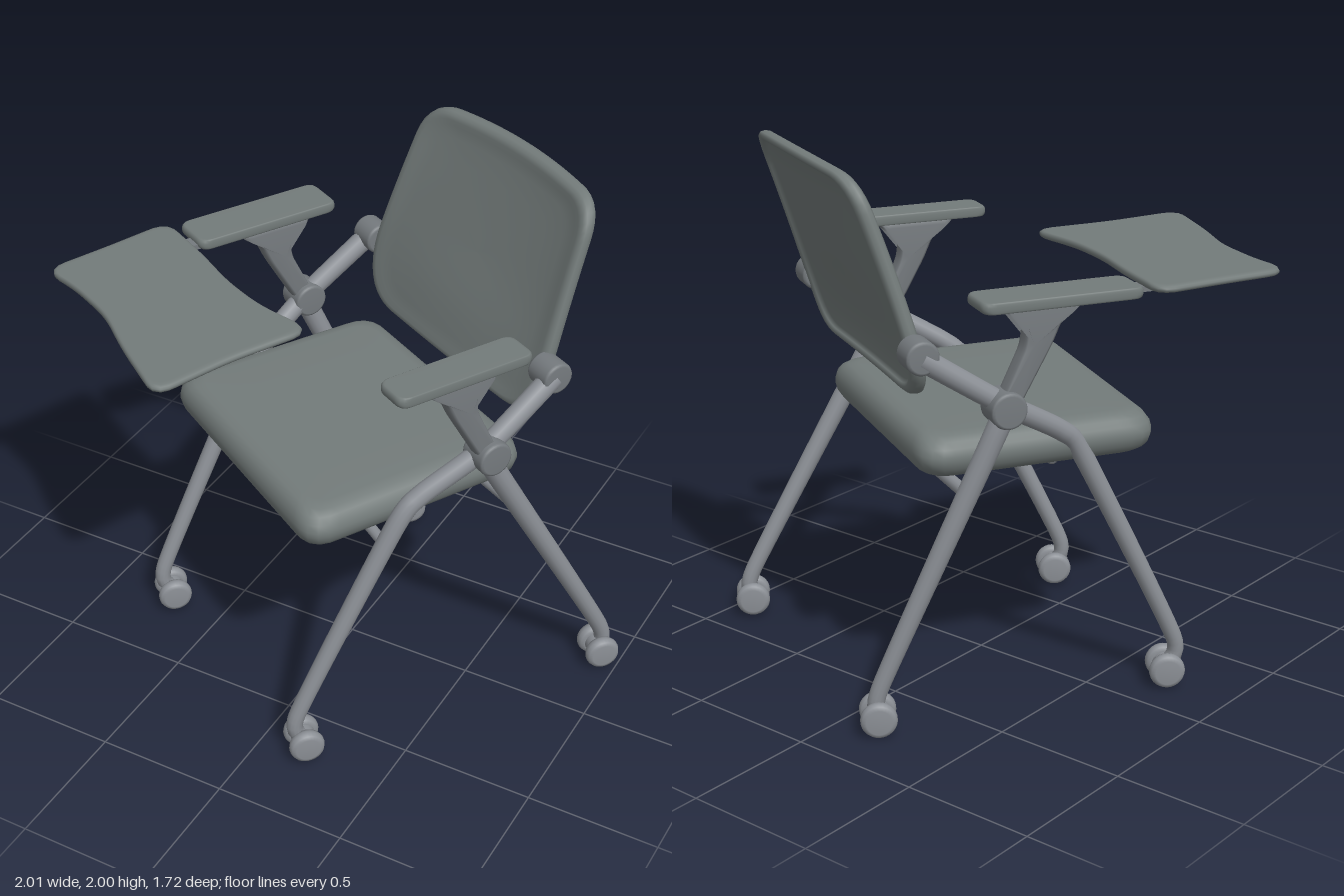
import * as THREE from 'three';

const fabric = new THREE.MeshStandardMaterial({ name: 'padGrey', color: 0x737b7a });
const metal = new THREE.MeshStandardMaterial({ name: 'frameGrey', color: 0x8b8f95 });
const joint = new THREE.MeshStandardMaterial({ name: 'jointGrey', color: 0x757a7e });
const V = (x, y, z) => new THREE.Vector3(x, y, z);

function add(parent, name, geometry, material, x = 0, y = 0, z = 0) {
  const mesh = new THREE.Mesh(geometry, material);
  mesh.name = name;
  mesh.position.set(x, y, z);
  parent.add(mesh);
  return mesh;
}

// Evenly spaced outline of a polygon with rounded corners
function rounded(corners, r, count = 96) {
  const pts = corners.map(([a, b]) => new THREE.Vector2(a, b));
  const shape = new THREE.Shape();
  const toward = (p, q) => q.clone().sub(p).setLength(Math.min(r, p.distanceTo(q) / 2)).add(p);
  pts.forEach((p, i) => {
    const a = toward(p, pts[(i + pts.length - 1) % pts.length]);
    const b = toward(p, pts[(i + 1) % pts.length]);
    if (i) shape.lineTo(a.x, a.y); else shape.moveTo(a.x, a.y);
    shape.quadraticCurveTo(p.x, p.y, b.x, b.y);
  });
  shape.closePath();
  return shape.getSpacedPoints(count).slice(0, count);
}

// Padded slab: rings of [scale, height] around a counter-clockwise outline, placed by a rule
function slab(outline, profile, place) {
  const n = outline.length;
  const c = outline.reduce((s, p) => s.add(p), new THREE.Vector2()).divideScalar(n);
  const pos = [], index = [];
  profile.forEach(([s, w], i) => outline.forEach((p, j) => {
    const q = place(c.x + (p.x - c.x) * s, c.y + (p.y - c.y) * s, w);
    pos.push(q.x, q.y, q.z);
    if (i < profile.length - 1) {
      const a = i * n + j, b = i * n + (j + 1) % n;
      index.push(a, a + n, b + n, a, b + n, b);
    }
  }));
  const g = new THREE.BufferGeometry();
  g.setAttribute('position', new THREE.Float32BufferAttribute(pos, 3));
  g.setIndex(index);
  g.computeVertexNormals();
  return g;
}

// Horizontal slab at height y; corners are [x, z], front edge first from -x to +x
function flat(corners, r, profile, y) {
  const outline = rounded(corners.map(([x, z]) => [x, -z]), r);
  return slab(outline, profile, (a, b, w) => V(a, y + w, -b));
}

const mirrorDown = half => [...half, ...half.slice().reverse().map(([s, w]) => [s, -w])];
const board = h => mirrorDown([[0, h], [0.5, h], [0.94, h], [0.97, h * 0.95], [0.99, h * 0.7], [1, h * 0.25]]);

// Round tube tapering from r0 to r1 along a gently smoothed path
function tube(points, r0, r1 = r0) {
  const curve = new THREE.CatmullRomCurve3(points, false, 'catmullrom', 0.3);
  const g = new THREE.TubeGeometry(curve, 64, 1, 14, false);
  const pos = g.attributes.position, p = V();
  for (let i = 0; i < pos.count; i++) {
    const t = Math.floor(i / 15) / 64;
    const c = curve.getPointAt(t);
    p.fromBufferAttribute(pos, i).sub(c).multiplyScalar(r0 + (r1 - r0) * t).add(c);
    pos.setXYZ(i, p.x, p.y, p.z);
  }
  return g;
}

// Lathed drum with softened rims, its axis along x
function drum(r, length, e = 0.012) {
  const h = length / 2;
  const pts = [[0, -h], [r - e, -h], [r - e * 0.3, -h + e * 0.3], [r, -h + e],
    [r, h - e], [r - e * 0.3, h - e * 0.3], [r - e, h], [0, h]];
  return new THREE.LatheGeometry(pts.map(p => new THREE.Vector2(...p)), 28).rotateZ(-Math.PI / 2);
}

function caster(parent, name, x, z) {
  const g = new THREE.Group();
  g.name = name;
  g.position.set(x, 0.07, z);
  g.rotation.y = -0.28;
  for (const s of [-1, 1]) add(g, 'wheel', drum(0.066, 0.052, 0.02), metal, s * 0.044);
  add(g, 'axleHub', drum(0.045, 0.07), metal);
  parent.add(g);
}

// Crossed legs, joints, arm bracket and casters of one side
function sideFrame(parent, p) {
  const side = new THREE.Group();
  side.name = p.name;
  parent.add(side);
  const s = p.sign;
  // Each leg runs on into its caster
  const foot = key => [V(p[key][0], 0.19, p[key][1]), V(p[key + 'Wheel'][0], 0.07, p[key + 'Wheel'][1])];
  add(side, 'frontLeg', tube([V(s * 0.59, 1.39, -0.455), V(s * 0.6, 1.2, -0.166), V(s * 0.555, 1.06, 0.07),
    V(s * 0.54, 0.95, 0.165), ...foot('front')], 0.041, 0.03), metal);
  add(side, 'rearLeg', tube([V(s * 0.62, 1.22, -0.15), V(s * 0.622, 1.1, -0.2), ...foot('rear')], 0.042, 0.031), metal);
  add(side, 'pivot', drum(0.066, 0.12), joint, s * 0.615, 1.19, -0.165);
  add(side, 'backKnob', drum(0.06, 0.11), joint, s * 0.57, 1.395, -0.455);

  // Flared bracket, drawn in (z, y)
  const outline = rounded([[-0.21, 1.17], [-0.13, 1.17], [0, 1.4], [0.04, 1.49], [0.12, 1.54],
    [0.12, 1.56], [-0.18, 1.56], [-0.18, 1.54], [-0.09, 1.49], [-0.1, 1.4]], 0.03);
  const profile = mirrorDown([[0, 0.035], [0.8, 0.035], [0.95, 0.028], [1, 0.012]]);
  add(side, 'armBracket', slab(outline, profile, (a, b, w) => V(s * 0.615 - w, b, a)), joint);

  const [x, w, z0, z1] = p.arm;
  add(side, 'armrest', flat([[x - w, z1], [x + w, z1], [x + w, z0], [x - w, z0]], 0.035, board(0.02), 1.573), fabric);

  caster(side, 'frontCaster', ...p.frontWheel);
  caster(side, 'rearCaster', ...p.rearWheel);
}

export function createModel() {
  const model = new THREE.Group();
  model.name = 'foldingTabletChair';
  const chair = new THREE.Group();
  chair.name = 'chair';
  chair.rotation.y = -THREE.MathUtils.degToRad(29); // chair stands turned
  model.add(chair);

  // Seat cushion
  const cushion = mirrorDown([[0, 0.081], [0.5, 0.081], [0.84, 0.08], [0.91, 0.073], [0.955, 0.058], [0.987, 0.036], [1, 0.01]]);
  add(chair, 'seat', flat([[-0.565, 0.45], [0.51, 0.495], [0.505, -0.425], [-0.55, -0.43]], 0.1, cushion, 0.998), fabric);

  // Curved backrest with a raised rim, widest just above its lower edge
  const backOutline = rounded([[-0.44, 1.19], [0.5, 1.19], [0.55, 1.34], [0.52, 1.97], [-0.435, 1.97], [-0.535, 1.34]], 0.12, 112);
  const backProfile = [[0, 0.012], [0.2, 0.012], [0.4, 0.012], [0.6, 0.013], [0.78, 0.015], [0.88, 0.02], [0.93, 0.027],
    [0.97, 0.026], [0.992, 0.016], [1, 0], [0.992, -0.018], [0.97, -0.028], [0.94, -0.03], [0.915, -0.022],
    [0.89, -0.008], [0.7, -0.006], [0.5, -0.006], [0.25, -0.006], [0, -0.006]];
  add(chair, 'backrest', slab(backOutline, backProfile, (a, b, w) => {
    const t = (b - 1.19) / 0.78;
    const middle = 1 - ((a - 0.03) / 0.52) ** 2;
    const lumbar = 0.02 * middle * Math.exp(-(((t - 0.2) / 0.22) ** 2));
    return V(a, b + 0.03 * middle * t,
      -0.41 - 0.22 * Math.max(t, 0) ** 1.15 - 0.05 * middle * t - a * (0.015 + 0.03 * t) + lumbar + w);
  }), fabric);

  sideFrame(chair, {
    name: 'leftSide', sign: 1, front: [0.472, 0.535], rear: [0.646, -0.71],
    frontWheel: [0.479, 0.513], rearWheel: [0.646, -0.721], arm: [0.612, 0.07, -0.3, 0.245],
  });
  sideFrame(chair, {
    name: 'rightSide', sign: -1, front: [-0.55, 0.54], rear: [-0.517, -0.583],
    frontWheel: [-0.538, 0.515], rearWheel: [-0.51, -0.596], arm: [-0.647, 0.088, -0.285, 0.3],
  });

  // Writing tablet with wavy edges and its support underneath
  add(chair, 'writingTablet', flat([[-0.7, 0.86], [-0.55, 0.825], [-0.32, 0.815], [-0.1, 0.86], [0.21, 0.9],
    [0.16, 0.58], [0.148, 0.26], [-0.08, 0.33], [-0.28, 0.345], [-0.5, 0.33], [-0.77, 0.33], [-0.73, 0.6]],
  0.08, board(0.014), 1.58), fabric);
  add(chair, 'tabletSupport', new THREE.BoxGeometry(0.06, 0.02, 0.22), joint, -0.62, 1.56, 0.31);

  // Cross rods under the seat, the front one ending in a short hook
  add(chair, 'rearRod', tube([V(0.63, 0.885, -0.32), V(0, 0.885, -0.305), V(-0.59, 0.885, -0.29)], 0.023), metal);
  add(chair, 'frontRod', tube([V(0.53, 0.88, 0.2), V(0, 0.88, 0.15), V(-0.28, 0.88, 0.125), V(-0.33, 0.87, 0.14)], 0.02), metal);
  add(chair, 'frontRodEnd', new THREE.SphereGeometry(0.025, 16, 12), metal, -0.33, 0.87, 0.14);
  return model;
}
